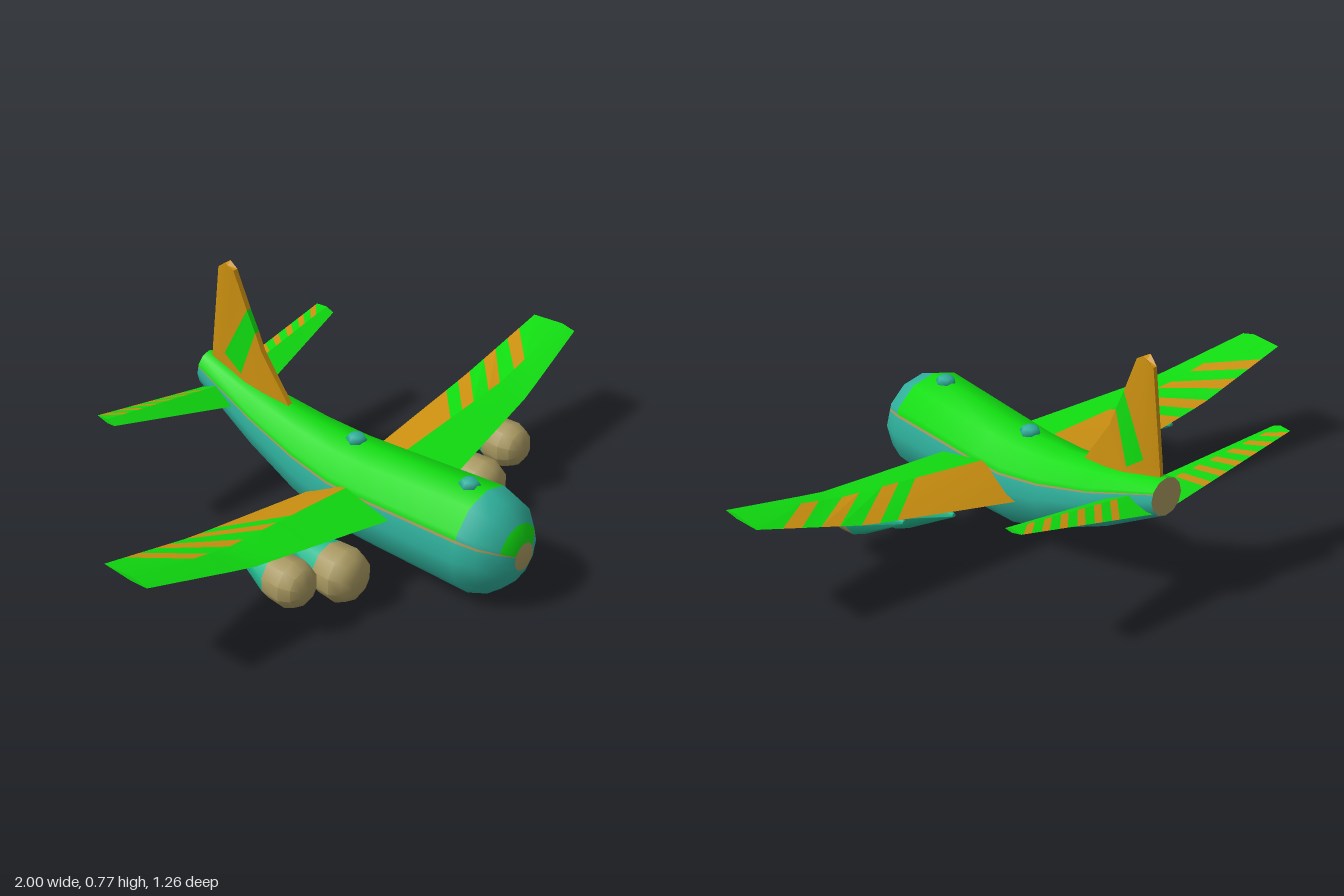
import * as THREE from 'three';
import { toCreasedNormals } from 'three/addons/utils/BufferGeometryUtils.js';

const paint = (name, color) => {
  const m = new THREE.MeshStandardMaterial({ color });
  m.name = name;
  return m;
};

// Skin closed rings of points, with end caps; pick(row, segment) gives the colour index.
// Row -1 is the first cap and row rings.length - 1 the last cap.
function loft(name, rings, materials, pick, crease = 0.7) {
  const faces = materials.map(() => []);
  const n = rings[0].length;
  const last = rings.length - 1;
  for (let r = 0; r < last; r++) {
    for (let i = 0; i < n; i++) {
      const j = (i + 1) % n;
      const [a, b, c, d] = [rings[r][i], rings[r][j], rings[r + 1][j], rings[r + 1][i]];
      faces[pick(r, i)].push([a, b, c], [a, c, d]);
    }
  }
  for (const [ring, row] of [[rings[0], -1], [rings[last], last]]) {
    const mid = [0, 1, 2].map((k) => ring.reduce((s, p) => s + p[k], 0) / n);
    for (let i = 0; i < n; i++) {
      const j = (i + 1) % n;
      faces[pick(row, 0)].push(row < 0 ? [mid, ring[j], ring[i]] : [mid, ring[i], ring[j]]);
    }
  }
  // The signed volume tells whether the skin has to be turned outward
  const v = (p) => new THREE.Vector3(...p);
  const volume = faces.flat().reduce((s, [a, b, c]) => s + v(a).dot(v(b).cross(v(c))), 0);
  const geometry = new THREE.BufferGeometry();
  const positions = [];
  faces.forEach((list, m) => {
    geometry.addGroup(positions.length / 3, list.length * 3, m);
    for (const [a, b, c] of list) positions.push(...a, ...(volume < 0 ? c : b), ...(volume < 0 ? b : c));
  });
  geometry.setAttribute('position', new THREE.Float32BufferAttribute(positions, 3));
  const mesh = new THREE.Mesh(toCreasedNormals(geometry, crease), materials);
  mesh.name = name;
  return mesh;
}

// Aerofoil stations: x, then [z, y] of leading edge, ridge, trailing edge and belly
const WING = [
  [0.05, [0.255, 0.195], [0.06, 0.235], [-0.102, 0.15], [0.1, 0.155]],
  [0.65, [0.16, 0.26], [0.06, 0.284], [-0.087, 0.258], [0.08, 0.247]],
  [1.0, [0.1, 0.345], [0.05, 0.358], [-0.065, 0.354], [0.04, 0.343]],
];
const TAILPLANE = [
  [0.02, [-0.45, 0.3], [-0.54, 0.345], [-0.618, 0.31], [-0.54, 0.285]],
  [0.505, [-0.54, 0.397], [-0.57, 0.41], [-0.612, 0.408], [-0.57, 0.396]],
];

// Point on an aerofoil corner at a given span
function foilPoint(stations, x, corner) {
  let i = 0;
  while (i < stations.length - 2 && x > stations[i + 1][0]) i++;
  const [a, b] = [stations[i], stations[i + 1]];
  const t = (x - a[0]) / (b[0] - a[0]);
  const mix = (k) => a[corner][k] + (b[corner][k] - a[corner][k]) * t;
  return [x, mix(1), mix(0)];
}

// Cuts are [x on ridge, x on trailing edge]; every other aft panel is a painted stripe
function makeFoil(name, stations, cuts, side, materials, stripeParity) {
  const rings = cuts.map(([ridge, trail]) =>
    [1, 2, 3, 4].map((corner) => {
      const [x, y, z] = foilPoint(stations, corner === 3 ? trail : ridge, corner);
      return [x * side, y, z];
    }));
  const isStripe = (r, i) => i === 1 && r >= 0 && r < cuts.length - 1 && r % 2 === stripeParity;
  return loft(name, rings, materials, (r, i) => (isStripe(r, i) ? 1 : 0), 0.3);
}

export function createModel() {
  const green = paint('camouflage green', 0x10dc10);
  const orange = paint('camouflage orange', 0xcb9010);
  const teal = paint('belly teal', 0x2fb09c);
  const cowl = paint('nacelle teal', 0x22bb90);
  const tan = paint('tan', 0xa89860);
  const model = new THREE.Group();
  model.name = 'airplane';

  // Fuselage: z, top, bottom, half width
  const half = [[0, 1], [0.5, 0.866], [0.866, 0.5], [0.895, 0.39], [0.909, 0.34],
    [1, 0], [0.866, -0.5], [0.5, -0.866], [0, -1]];
  const outline = [...half, ...half.slice(1, -1).reverse().map(([x, y]) => [-x, y])];
  const stations = [
    [0.63, 0.215, 0.125, 0.045], [0.605, 0.268, 0.075, 0.095], [0.555, 0.318, 0.025, 0.145],
    [0.49, 0.342, 0.002, 0.164], [0.1, 0.327, 0.016, 0.153], [-0.02, 0.325, 0.021, 0.145],
    [-0.18, 0.336, 0.07, 0.125], [-0.38, 0.366, 0.16, 0.095], [-0.63, 0.424, 0.303, 0.056],
  ];
  const hull = stations.map(([z, top, bottom, w]) =>
    outline.map(([x, y]) => [x * w, (top + bottom) / 2 + y * (top - bottom) / 2, z]));
  model.add(loft('fuselage', hull, [green, teal, tan], (r, i) => {
    const k = Math.min(i, 15 - i);
    if (r < 0 || r === stations.length - 1 || k === 3) return 2;
    return k < 3 && (r === 0 || r > 2) ? 0 : 1;
  }, 0.9));

  // Domes on the spine
  for (const z of [0.425, -0.01]) {
    const dome = new THREE.Mesh(new THREE.SphereGeometry(0.034, 6, 4), teal);
    dome.scale.y = 0.6;
    dome.position.set(0, z > 0 ? 0.337 : 0.328, z);
    dome.name = 'dome';
    model.add(dome);
  }

  const wingCuts = [[0.05, 0.05], [0.38, 0.55], [0.44, 0.61], [0.5, 0.67], [0.58, 0.74],
    [0.64, 0.8], [0.72, 0.86], [0.78, 0.92], [1, 1]];
  const tailCuts = [[0.02, 0.02]];
  for (let i = 0; i < 6; i++) {
    const x = 0.11 + i * 0.062;
    tailCuts.push([x, x + 0.05], [x + 0.028, x + 0.078]);
  }
  tailCuts.push([0.505, 0.505]);

  // Engine rings: z, height offset, radius; the pod tapers up to the wing
  const pods = [
    { x: 0.335, y: 0.104, z: 0.29, r: 0.086, tail: [-0.07, 0.175] },
    { x: 0.52, y: 0.154, z: 0.252, r: 0.075, tail: [-0.08, 0.218] },
  ];
  for (const side of [1, -1]) {
    const label = side > 0 ? 'left' : 'right';
    model.add(makeFoil(label + 'Wing', WING, wingCuts, side, [green, orange], 0));
    model.add(makeFoil(label + 'Tailplane', TAILPLANE, tailCuts, side, [green, orange], 1));
    pods.forEach((p, index) => {
      const profile = [[p.z, p.y, p.r * 0.45], [p.z - 0.02, p.y, p.r * 0.8], [p.z - 0.055, p.y, p.r],
        [p.z - 0.12, p.y + 0.004, p.r * 0.95], [...p.tail, 0.006]];
      const rings = profile.map(([z, y, r]) => Array.from({ length: 10 }, (_, i) => {
        const a = (i / 10) * Math.PI * 2;
        return [side * p.x + Math.sin(a) * r, y + Math.cos(a) * r, z];
      }));
      const name = label + (index ? 'OuterEngine' : 'InnerEngine');
      model.add(loft(name, rings, [tan, cowl], (r) => (r < 3 ? 0 : 1)));
    });
  }

  // Fin: slanted cuts with [z, y] of leading edge, ridge and trailing edge
  const finCuts = [
    [[-0.27, 0.335], [-0.46, 0.36], [-0.612, 0.38]],
    [[-0.39, 0.5], [-0.465, 0.385], [-0.611, 0.39]],
    [[-0.415, 0.56], [-0.475, 0.4], [-0.61, 0.4]],
    [[-0.448, 0.628], [-0.545, 0.45], [-0.605, 0.45]],
    [[-0.5, 0.748], [-0.532, 0.767], [-0.567, 0.742]],
  ];
  const finRings = finCuts.map((cut, r) => {
    const widths = [0.009, 0.021 - r * 0.002, 0.006];
    const wall = cut.map(([z, y], i) => [widths[i], y, z]);
    return [...wall, ...wall.slice().reverse().map(([x, y, z]) => [-x, y, z])];
  });
  model.add(loft('fin', finRings, [orange, green], (r, i) => (r === 2 && [0, 4, 5].includes(i) ? 1 : 0), 0.4));

  return model;
}
